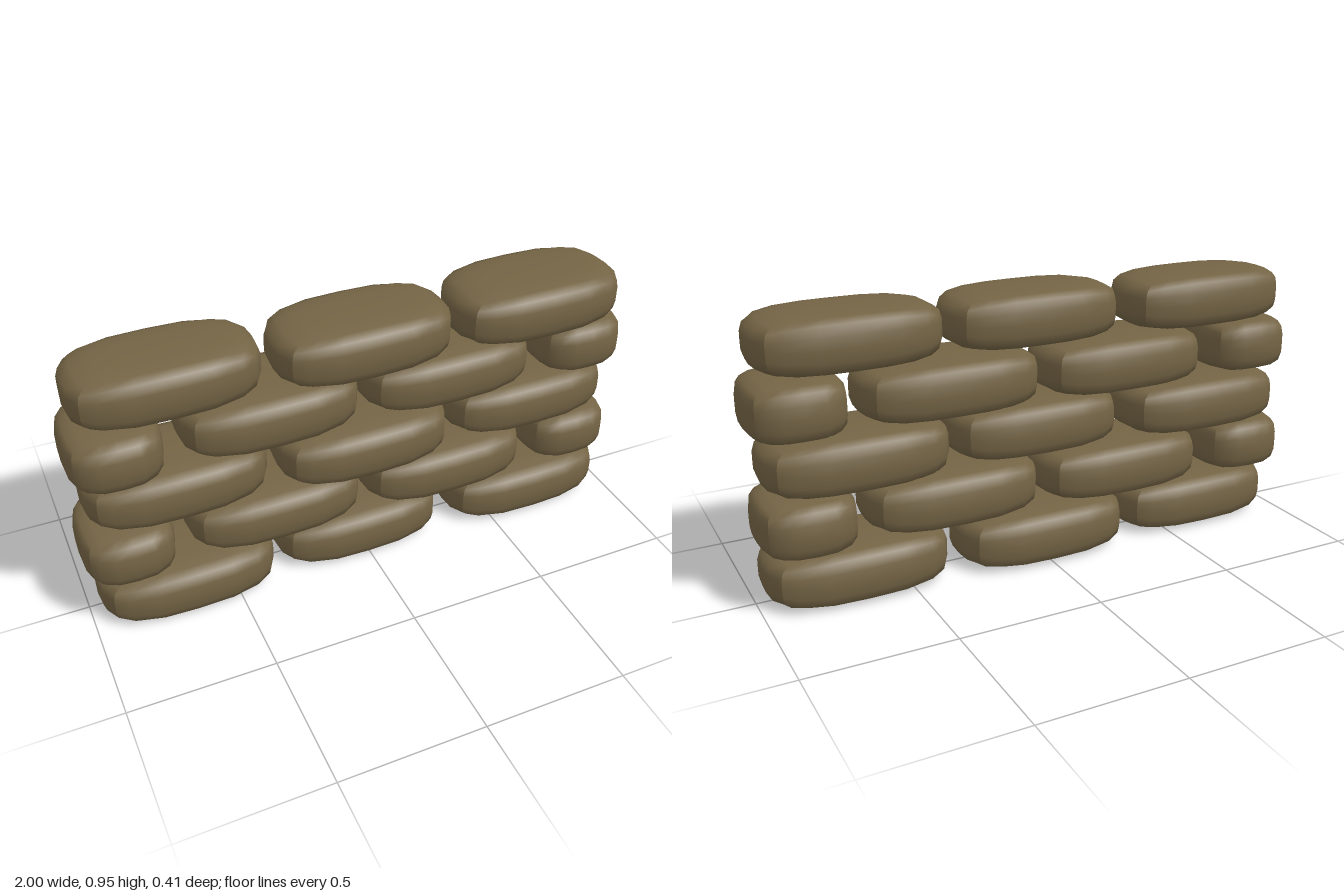
import * as THREE from 'three';
import { mergeVertices } from 'three/addons/utils/BufferGeometryUtils.js';

// Unit brick: a box pulled onto a superellipsoid, rounder in plan than in height,
// creased along the vertical end edges
function pillowBrick() {
  const planPower = 3, heightPower = 4.5, endWidth = 0.75;
  const g = new THREE.BoxGeometry(2, 2, 2 * endWidth, 6, 6, 4);
  const p = g.attributes.position, n = g.attributes.normal;
  const crease = [];
  for (let i = 0; i < p.count; i++) {
    const v = new THREE.Vector3().fromBufferAttribute(p, i);
    const onEndEdge = Math.abs(v.z) > endWidth - 0.01 && Math.abs(v.y) < 0.9;
    crease.push(Math.abs(n.getX(i)) > 0.5 && onEndEdge ? 1 : 0);
    const plan = (Math.abs(v.x) ** planPower + Math.abs(v.z) ** planPower) ** (1 / planPower);
    v.multiplyScalar((plan ** heightPower + Math.abs(v.y) ** heightPower) ** (-1 / heightPower));
    p.setXYZ(i, v.x, v.y, v.z);
  }
  g.deleteAttribute('uv');
  g.deleteAttribute('normal');
  g.setAttribute('crease', new THREE.Float32BufferAttribute(crease, 1));
  const merged = mergeVertices(g, 1e-4);
  merged.deleteAttribute('crease');
  return merged;
}

// Courses from the ground up: [left edge, right edge, z offset, half depth] of each brick
const courses = [
  [[-0.965, -0.345, 0.01, 0.185], [-0.32, 0.303, -0.02, 0.185], [0.35, 0.975, 0, 0.185]],
  [[-1, -0.688, 0, 0.185], [-0.635, -0.008, -0.01, 0.185], [0.01, 0.63, 0, 0.185], [0.67, 0.99, -0.015, 0.185]],
  [[-0.965, -0.34, -0.02, 0.185], [-0.31, 0.31, 0.02, 0.185], [0.34, 0.965, -0.015, 0.185]],
  [[-1, -0.688, 0, 0.185], [-0.63, -0.01, -0.015, 0.185], [0.01, 0.638, -0.01, 0.185], [0.68, 1, -0.01, 0.185]],
  [[-0.965, -0.338, -0.02, 0.172], [-0.305, 0.318, 0.013, 0.177], [0.34, 0.965, 0.014, 0.185]],
];

export function createModel() {
  const wall = new THREE.Group();
  wall.name = 'brickWall';
  const stone = new THREE.MeshStandardMaterial({ color: 0x746445 });
  stone.name = 'brownStone';
  const unit = pillowBrick();

  courses.forEach((bricks, row) => {
    const course = new THREE.Group();
    course.name = `course${row + 1}`;
    course.position.y = 0.095 + row * 0.1915;
    for (const [x0, x1, z, depth] of bricks) {
      const half = (x1 - x0) / 2;
      const geometry = unit.clone().scale(half, 0.093, depth);
      geometry.computeVertexNormals();
      const brick = new THREE.Mesh(geometry, stone);
      brick.name = half < 0.2 ? 'halfBrick' : 'brick';
      brick.position.set((x0 + x1) / 2, 0, z);
      course.add(brick);
    }
    wall.add(course);
  });
  return wall;
}
